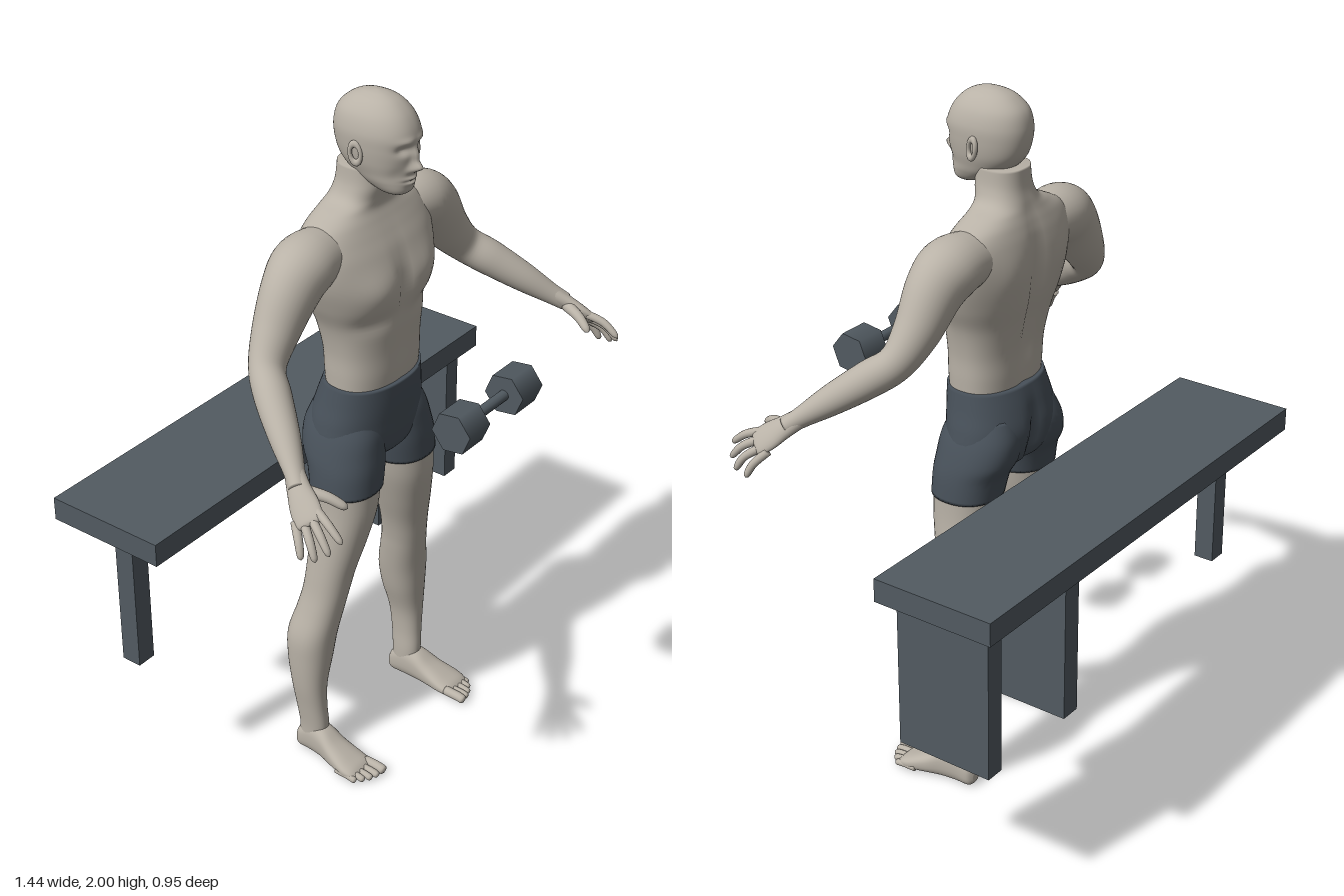
import * as THREE from 'three';

const skin = new THREE.MeshStandardMaterial({ color: 0xb9b2a7 });
skin.name = 'skin';
const cloth = new THREE.MeshStandardMaterial({ color: 0x48515a });
cloth.name = 'shorts cloth';
const metal = new THREE.MeshStandardMaterial({ color: 0x525b62 });
metal.name = 'slate';

const V = (x, y, z) => new THREE.Vector3(x, y, z);
const bell = (x, y, cx, cy, wx, wy) => Math.exp(-(((x - cx) / wx) ** 2) - ((y - cy) / wy) ** 2);

// Closed smooth surface through a list of equal-sized rings
function surface(rings) {
  const n = rings[0].length, pos = [], idx = [];
  for (const r of rings) for (const p of r) pos.push(p.x, p.y, p.z);
  for (let i = 0; i < rings.length - 1; i++) {
    for (let j = 0; j < n; j++) {
      const k = (j + 1) % n, a = i * n + j, b = i * n + k;
      idx.push(a, a + n, b, b, a + n, b + n);
    }
  }
  [0, rings.length - 1].forEach((row, end) => {
    const c = V(0, 0, 0);
    rings[row].forEach((p) => c.addScaledVector(p, 1 / n));
    const ci = pos.length / 3;
    pos.push(c.x, c.y, c.z);
    for (let j = 0; j < n; j++) {
      const a = row * n + j, b = row * n + ((j + 1) % n);
      if (end) idx.push(ci, b, a); else idx.push(ci, a, b);
    }
  });
  const g = new THREE.BufferGeometry();
  g.setAttribute('position', new THREE.Float32BufferAttribute(pos, 3));
  g.setIndex(idx);
  g.computeVertexNormals();
  return g;
}

// Smooth interpolation of number rows
function sample(rows, t) {
  const f = t * (rows.length - 1), i = Math.min(Math.floor(f), rows.length - 2), s = f - i;
  const at = (k) => rows[Math.max(0, Math.min(rows.length - 1, k))];
  const [p, a, b, q] = [at(i - 1), at(i), at(i + 1), at(i + 2)];
  return a.map((v, k) => v + 0.5 * s * (b[k] - p[k]
    + s * (2 * p[k] - 5 * v + 4 * b[k] - q[k] + s * (3 * (v - b[k]) + q[k] - p[k]))));
}

// Rows are [t, centre x, half width, high, low]; place turns (x, h, t, sin) into a point
function loft(rows, { place = (x, h, t) => V(x, t, h), segs = 36, sub = 5, e = 0.9 } = {}) {
  const rings = [], count = (rows.length - 1) * sub;
  const pow = (v) => Math.sign(v) * Math.abs(v) ** e;
  for (let i = 0; i <= count; i++) {
    const [t, cx, r, hi, lo] = sample(rows, i / count), ring = [];
    for (let j = 0; j < segs; j++) {
      const a = (j / segs) * Math.PI * 2, s = Math.sin(a);
      ring.push(place(cx + r * pow(Math.cos(a)), (hi + lo) / 2 + ((hi - lo) / 2) * pow(s), t, s));
    }
    rings.push(ring);
  }
  return surface(rings);
}

// Limb along points [x, y, z, radius along ref, radius across]
function limb(points, ref, { segs = 24, sub = 6, round = false } = {}) {
  const rings = [], count = (points.length - 1) * sub;
  const at = (t) => sample(points, Math.max(0, Math.min(1, t)));
  for (let i = 0; i <= count; i++) {
    const t = i / count, [x, y, z, ru, rv] = at(t);
    const d = V(...at(t + 0.01)).sub(V(...at(t - 0.01))).normalize();
    const u = ref.clone().addScaledVector(d, -ref.dot(d)).normalize();
    const v = u.clone().cross(d);
    const k = round && t > 0.75 ? Math.sqrt(Math.max(0.003, 1 - ((t - 0.75) / 0.25) ** 2)) : 1;
    const ring = [];
    for (let j = 0; j < segs; j++) {
      const a = (j / segs) * Math.PI * 2;
      ring.push(V(x, y, z).addScaledVector(u, ru * k * Math.cos(a)).addScaledVector(v, rv * k * Math.sin(a)));
    }
    rings.push(ring);
  }
  return surface(rings);
}

function mirrored(geo) {
  const g = geo.clone().scale(-1, 1, 1), ix = g.index.array;
  for (let i = 0; i < ix.length; i += 3) [ix[i], ix[i + 1]] = [ix[i + 1], ix[i]];
  g.computeVertexNormals();
  return g;
}

export function createModel() {
  const model = new THREE.Group();
  const add = (name, geo, mat) => {
    const m = new THREE.Mesh(geo, mat);
    m.name = name;
    model.add(m);
    return m;
  };
  const pair = (name, geo, mat) => {
    add(name + 'Left', geo, mat);
    add(name + 'Right', mirrored(geo), mat);
  };

  // Torso and neck, with chest, belly line, shoulder blades and spine groove
  const torsoShape = (x, h, y, s) => {
    const a = Math.abs(x);
    const front = 0.016 * bell(a, y, 0.1, 1.49, 0.075, 0.055) - 0.012 * bell(x, y, 0, 1.47, 0.02, 0.1)
      - 0.005 * bell(x, y, 0, 1.3, 0.012, 0.1) - 0.008 * bell(a, y, 0.1, 1.4, 0.07, 0.025);
    const back = 0.022 * bell(x, y, 0, 1.42, 0.025, 0.2) - 0.01 * bell(a, y, 0.11, 1.54, 0.06, 0.07);
    return V(x, y, h + (s > 0 ? front : back) * Math.min(1, Math.abs(s) * 2));
  };
  add('torso', loft([
    [1.17, 0, 0.148, 0.13, -0.06], [1.23, 0, 0.151, 0.135, -0.065], [1.3, 0, 0.154, 0.136, -0.07],
    [1.38, 0, 0.17, 0.14, -0.085], [1.45, 0, 0.2, 0.144, -0.1], [1.52, 0, 0.225, 0.138, -0.106],
    [1.58, 0, 0.235, 0.12, -0.106], [1.625, 0, 0.225, 0.098, -0.1], [1.66, 0, 0.195, 0.08, -0.09],
    [1.688, 0, 0.14, 0.068, -0.08], [1.712, 0, 0.092, 0.07, -0.073], [1.75, 0, 0.073, 0.078, -0.063],
    [1.8, 0, 0.068, 0.075, -0.058]], { place: torsoShape, segs: 64, sub: 6, e: 0.85 }), skin);

  // Head with brow, eye sockets, nose, lips and chin
  const headShape = (x, h, y, s) => {
    const a = Math.abs(x);
    const face = 0.026 * bell(x, y, 0, 1.822, 0.013, 0.014) + 0.014 * bell(x, y, 0, 1.85, 0.01, 0.025)
      + 0.006 * bell(a, y, 0.014, 1.815, 0.009, 0.009) - 0.013 * bell(a, y, 0.033, 1.872, 0.018, 0.012)
      + 0.005 * bell(a, y, 0.028, 1.895, 0.025, 0.009) + 0.008 * bell(x, y, 0, 1.789, 0.021, 0.006)
      + 0.007 * bell(x, y, 0, 1.775, 0.018, 0.006) - 0.004 * bell(x, y, 0, 1.782, 0.022, 0.003)
      - 0.005 * bell(a, y, 0.045, 1.8, 0.018, 0.025);
    return V(x, y, h + (s > 0 ? face * Math.min(1, s * 2) : 0));
  };
  add('head', loft([
    [1.738, 0, 0.022, 0.135, 0.095], [1.75, 0, 0.043, 0.152, 0.06], [1.775, 0, 0.059, 0.157, 0.01],
    [1.8, 0, 0.068, 0.16, -0.03], [1.83, 0, 0.077, 0.163, -0.055], [1.87, 0, 0.083, 0.168, -0.068],
    [1.91, 0, 0.084, 0.167, -0.07], [1.95, 0, 0.073, 0.148, -0.058], [1.98, 0, 0.05, 0.117, -0.026],
    [1.995, 0, 0.024, 0.083, 0.01], [2.0, 0, 0.003, 0.052, 0.046]],
  { place: headShape, segs: 96, sub: 9 }), skin);
  pair('eye', new THREE.SphereGeometry(0.012, 16, 12).translate(0.033, 1.872, 0.135), skin);
  const ear = new THREE.TorusGeometry(0.018, 0.007, 10, 24).scale(0.8, 1.4, 1);
  pair('ear', ear.rotateY(Math.PI / 2 - 0.3).rotateX(-0.15).translate(0.087, 1.855, 0.045), skin);

  // Arms
  pair('arm', limb([
    [0.15, 1.595, -0.005, 0.075, 0.07], [0.24, 1.59, 0, 0.085, 0.083], [0.3, 1.55, 0.005, 0.075, 0.083],
    [0.37, 1.46, 0.01, 0.06, 0.066], [0.43, 1.39, 0.03, 0.047, 0.052], [0.475, 1.345, 0.085, 0.048, 0.05],
    [0.53, 1.285, 0.165, 0.04, 0.041], [0.575, 1.235, 0.23, 0.027, 0.029],
    [0.6, 1.21, 0.262, 0.024, 0.025]], V(0, 0, 1), { segs: 32 }), skin);

  // Hands
  const across = V(0.035, -0.035, -0.045).normalize();
  pair('palm', limb([
    [0.575, 1.235, 0.23, 0.026, 0.024], [0.6, 1.208, 0.265, 0.032, 0.021],
    [0.62, 1.182, 0.298, 0.04, 0.018], [0.637, 1.16, 0.326, 0.038, 0.013],
    [0.642, 1.154, 0.334, 0.028, 0.006]], across), skin);
  const fingers = {
    thumb: [[0.59, 1.205, 0.275], [0.568, 1.195, 0.33], [0.548, 1.17, 0.375]],
    indexFinger: [[0.614, 1.183, 0.33], [0.628, 1.165, 0.378], [0.632, 1.13, 0.422]],
    middleFinger: [[0.627, 1.168, 0.322], [0.65, 1.143, 0.369], [0.66, 1.102, 0.405]],
    ringFinger: [[0.638, 1.154, 0.308], [0.666, 1.124, 0.35], [0.678, 1.082, 0.375]],
    littleFinger: [[0.645, 1.148, 0.288], [0.67, 1.113, 0.318], [0.683, 1.075, 0.335]],
  };
  for (const [name, pts] of Object.entries(fingers)) {
    const r = name === 'thumb' ? [0.017, 0.014, 0.011] : [0.012, 0.011, 0.009];
    pair(name, limb(pts.map((p, i) => [...p, r[i], r[i]]), across, { segs: 14, round: true }), skin);
  }

  // Legs
  pair('leg', loft([
    [0.04, 0.225, 0.032, 0.04, -0.045], [0.1, 0.225, 0.033, 0.045, -0.045], [0.17, 0.23, 0.036, 0.042, -0.052],
    [0.25, 0.232, 0.045, 0.042, -0.062], [0.34, 0.222, 0.06, 0.05, -0.077], [0.42, 0.213, 0.067, 0.058, -0.08],
    [0.5, 0.195, 0.063, 0.07, -0.062], [0.56, 0.183, 0.061, 0.08, -0.05], [0.63, 0.17, 0.065, 0.092, -0.045],
    [0.72, 0.15, 0.075, 0.112, -0.045], [0.82, 0.13, 0.085, 0.13, -0.05], [0.9, 0.122, 0.092, 0.131, -0.053]]), skin);

  // Feet and toes
  pair('foot', loft([
    [-0.056, 0.225, 0.012, -0.015, -0.04], [-0.042, 0.225, 0.029, -0.001, -0.075], [0, 0.225, 0.034, 0, -0.105],
    [0.045, 0.228, 0.038, 0, -0.098], [0.09, 0.233, 0.045, 0, -0.07], [0.14, 0.237, 0.052, 0, -0.047],
    [0.17, 0.237, 0.05, -0.002, -0.034], [0.185, 0.235, 0.042, -0.008, -0.022]],
  { place: (x, h, z) => V(x, -h, z), e: 0.8 }), skin);
  [[0.199, 0.235, 0.014], [0.223, 0.23, 0.0105], [0.244, 0.222, 0.01], [0.263, 0.209, 0.01],
    [0.28, 0.192, 0.0095]].forEach(([x, tip, r], i) => {
    pair('toe' + (i + 1), limb([[x, r + 0.006, tip - 0.07, r, r], [x, r + 0.005, tip - 0.025, r, r],
      [x, r, tip, r, r]], V(1, 0, 0), { segs: 14, round: true }), skin);
  });

  // Shorts
  add('shortsSeat', loft([
    [0.95, 0, 0.05, 0.08, -0.04], [0.98, 0, 0.125, 0.122, -0.08], [1.03, 0, 0.182, 0.133, -0.1],
    [1.08, 0, 0.182, 0.137, -0.106], [1.14, 0, 0.168, 0.141, -0.092], [1.197, 0, 0.157, 0.142, -0.072]],
  {
    segs: 64,
    place: (x, h, y, s) => V(x, y, h + (s < 0 ? 0.03 * bell(x, y, 0, 1.04, 0.022, 0.08) : 0)),
  }), cloth);
  pair('shortsLeg', loft([
    [0.888, 0.121, 0.099, 0.137, -0.057], [0.95, 0.113, 0.102, 0.137, -0.07], [1.0, 0.105, 0.1, 0.133, -0.095],
    [1.06, 0.095, 0.09, 0.125, -0.1], [1.12, 0.085, 0.07, 0.1, -0.08]]), cloth);

  // Bench: seat, two panel legs and one post
  const box = (name, x0, x1, y0, y1, z0, z1) => add(name, new THREE.BoxGeometry(x1 - x0, y1 - y0, z1 - z0)
    .translate((x0 + x1) / 2, (y0 + y1) / 2, (z0 + z1) / 2), metal);
  box('benchSeat', -0.72, 0.72, 0.88, 0.947, -0.475, -0.115);
  box('benchPanelInner', 0.28, 0.34, 0.445, 0.88, -0.435, -0.15);
  box('benchPanelOuter', 0.62, 0.675, 0.445, 0.88, -0.435, -0.15);
  box('benchPost', -0.655, -0.597, 0.445, 0.88, -0.325, -0.265);

  // Dumbbell
  const bar = (name, r, x0, x1, sides) => add(name, new THREE.CylinderGeometry(r, r, x1 - x0, sides)
    .rotateZ(Math.PI / 2).rotateX(-0.14).translate((x0 + x1) / 2, 1.21, 0.413), metal);
  bar('dumbbellHandle', 0.015, -0.09, 0.08, 12);
  bar('dumbbellHeadRight', 0.06, -0.17, -0.08, 6);
  bar('dumbbellHeadLeft', 0.06, 0.07, 0.163, 6);

  return model;
}
